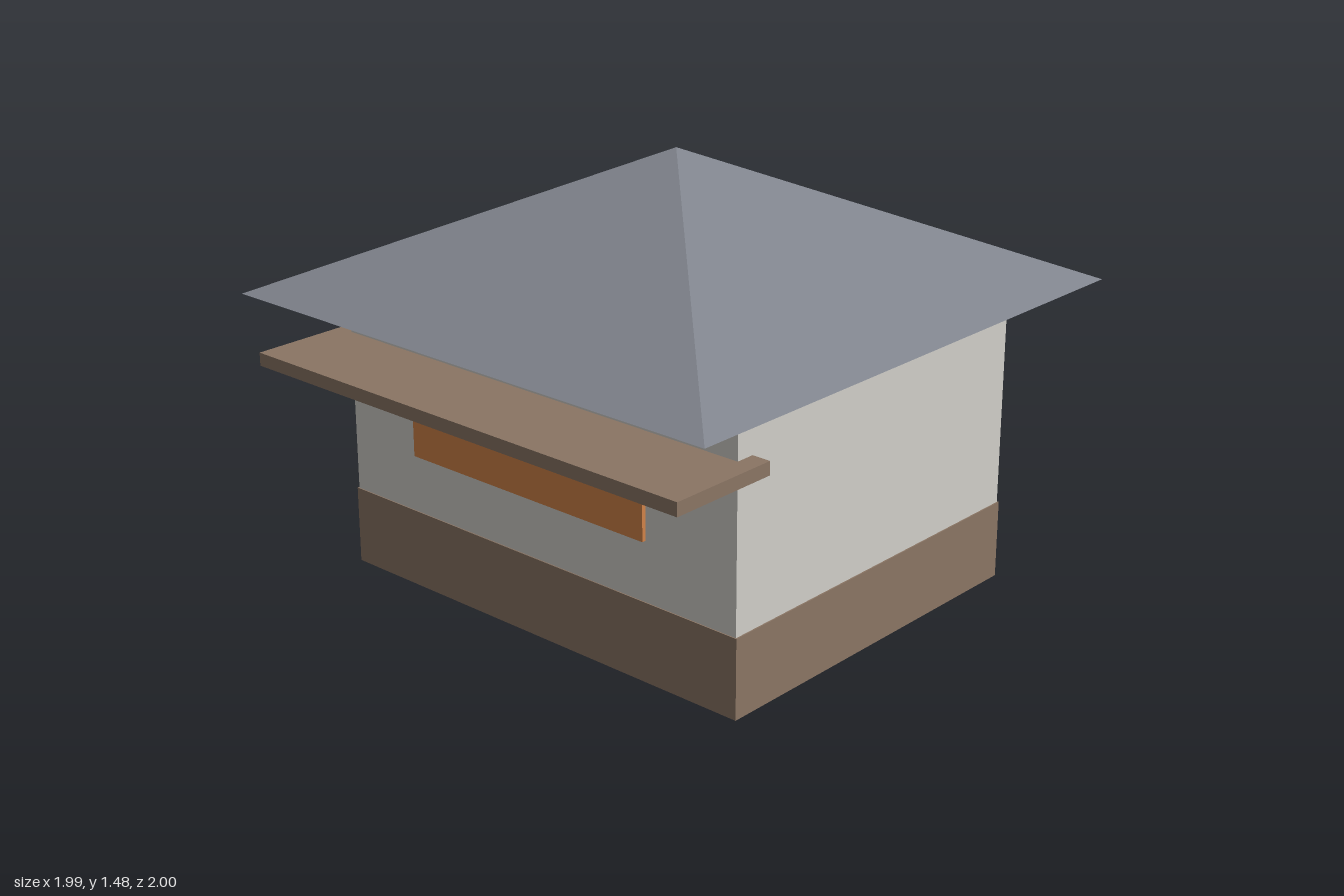
import * as THREE from 'three';

export function createModel() {
  const model = new THREE.Group();
  model.name = 'kiosk';

  const material = (name, color) => {
    const m = new THREE.MeshStandardMaterial({ color });
    m.name = name;
    return m;
  };
  const wood = material('brown wood', 0x8a7564);
  const plaster = material('pale plaster', 0xd0cec8);
  const slate = material('grey slate', 0x7f838c);
  const orange = material('orange paint', 0xd08248);

  // Box given by its extents along each axis
  const box = (name, mat, [x0, x1], [y0, y1], [z0, z1]) => {
    const mesh = new THREE.Mesh(new THREE.BoxGeometry(x1 - x0, y1 - y0, z1 - z0), mat);
    mesh.name = name;
    mesh.position.set((x0 + x1) / 2, (y0 + y1) / 2, (z0 + z1) / 2);
    model.add(mesh);
  };

  // Plinth, walls, serving shelf and hanging panel
  box('base', wood, [-0.845, 0.845], [0, 0.27], [-0.68, 0.673]);
  box('walls', plaster, [-0.84, 0.84], [0.01, 1.01], [-0.676, 0.669]);
  box('shelf', wood, [-0.905, 0.905], [0.785, 0.83], [0.603, 1]);
  box('frontPanel', orange, [-0.505, 0.505], [0.49, 0.79], [0.695, 0.709]);

  // Four-sided pyramid roof with closed underside
  const roofGeometry = new THREE.ConeGeometry(0.993 * Math.SQRT2, 0.467, 4).toNonIndexed();
  roofGeometry.rotateY(Math.PI / 4);
  roofGeometry.computeVertexNormals();
  const roof = new THREE.Mesh(roofGeometry, slate);
  roof.name = 'roof';
  roof.position.set(0, 1.008 + 0.467 / 2, -0.005);
  model.add(roof);

  return model;
}
